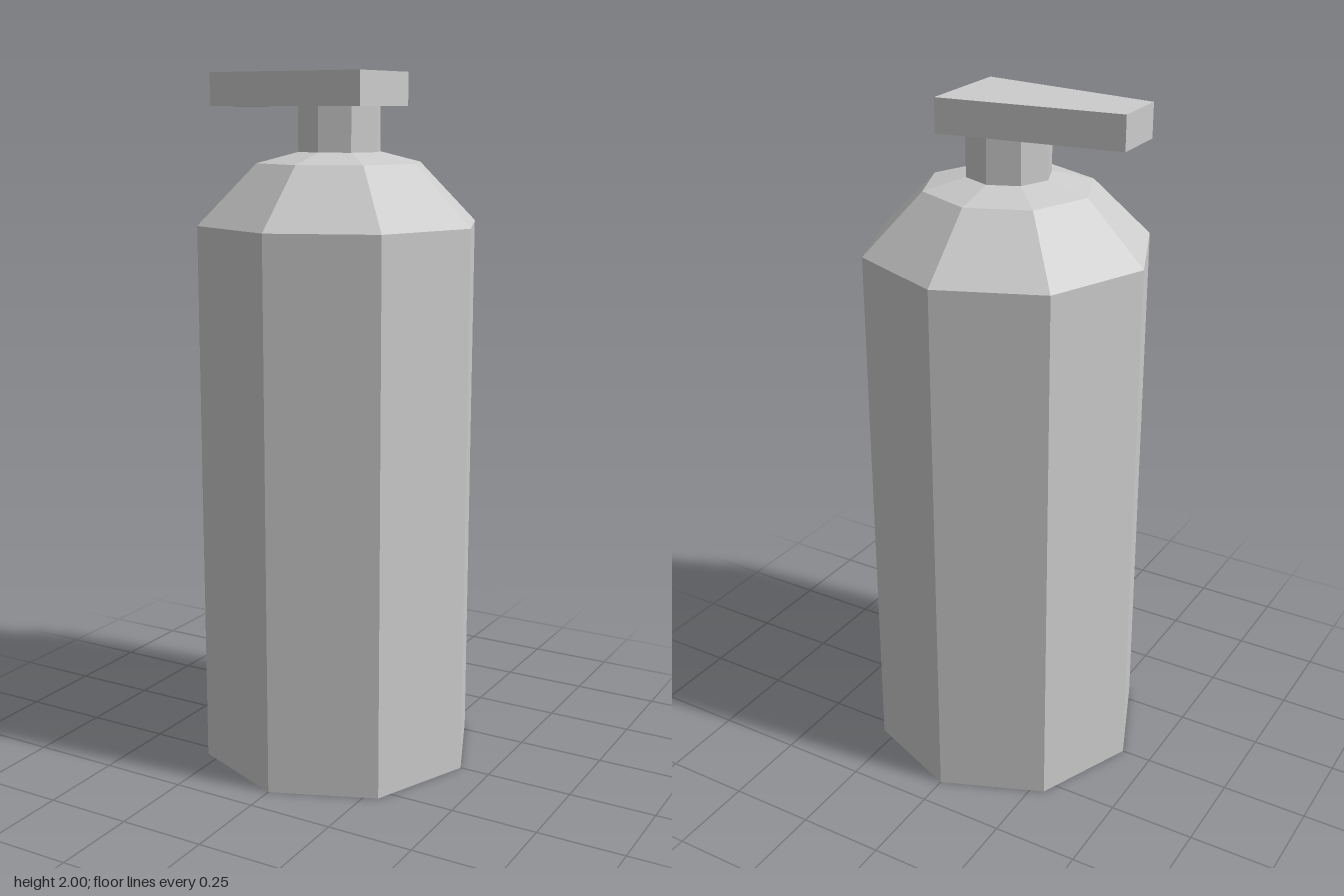
import * as THREE from 'three';

const SIDES = 8;
const material = new THREE.MeshStandardMaterial({ color: 0xcccccc, flatShading: true });

// Eight-sided turned part from [radius, height] pairs, listed bottom to top
function turned(name, profile) {
  const points = profile.map(([r, y]) => new THREE.Vector2(r, y));
  const mesh = new THREE.Mesh(new THREE.LatheGeometry(points, SIDES), material);
  mesh.name = name;
  return mesh;
}

export function createModel() {
  const model = new THREE.Group();
  model.name = 'pumpBottle';

  // Body with closed base and sloped shoulder
  model.add(turned('body', [[0, 0], [0.41, 0], [0.41, 1.58], [0.24, 1.75], [0.12, 1.78]]));

  // Neck under the pump head
  model.add(turned('neck', [[0.12, 1.78], [0.12, 1.905]]));

  // Pump head: a slab tapering towards the spout, outlined in x and z
  const outline = new THREE.Shape([
    [-0.375, -0.065], [0.14, -0.148], [0.14, 0.137], [-0.375, 0.093],
  ].map(([x, z]) => new THREE.Vector2(x, z)));
  const slab = new THREE.ExtrudeGeometry(outline, { depth: 0.095, bevelEnabled: false });
  slab.rotateX(Math.PI / 2).translate(0, 2, 0);
  const head = new THREE.Mesh(slab, material);
  head.name = 'pumpHead';
  model.add(head);

  return model;
}
